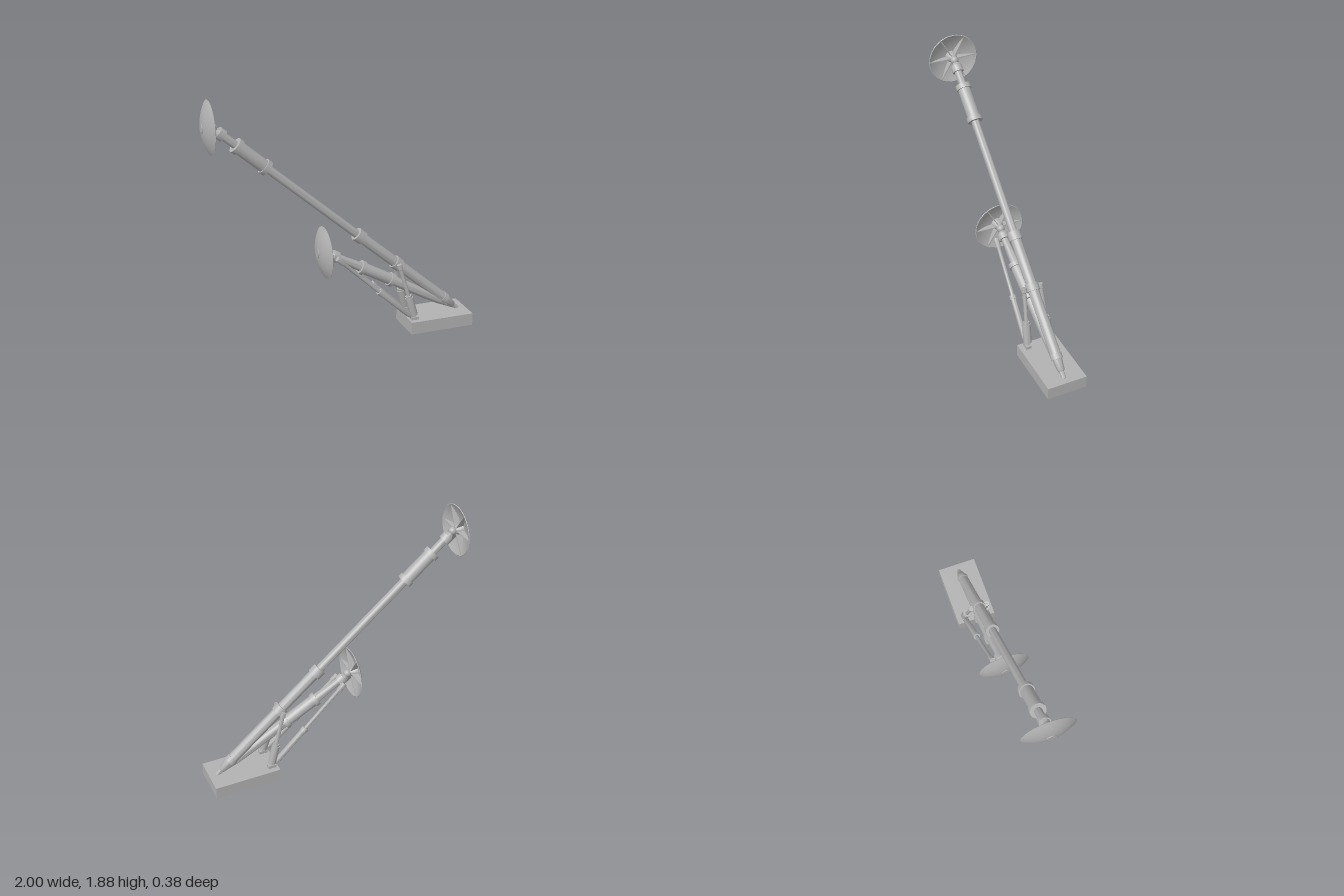
import * as THREE from 'three';
import { toCreasedNormals } from 'three/addons/utils/BufferGeometryUtils.js';

const metal = new THREE.MeshStandardMaterial({ color: 0xb2b2b2 });
metal.name = 'plain grey';
const V = (x, y, z = 0) => new THREE.Vector3(x, y, z);
const UP = V(0, 1, 0);

function add(parent, name, geometry) {
  const mesh = new THREE.Mesh(geometry, metal);
  mesh.name = name;
  parent.add(mesh);
  return mesh;
}

// Turned part along a line; profile holds [distance from start, radius] pairs
function turned(parent, name, from, dir, profile, sides = 20) {
  const pts = profile.map(([t, r]) => new THREE.Vector2(r, t));
  pts.unshift(new THREE.Vector2(0, profile[0][0]));
  pts.push(new THREE.Vector2(0, profile[profile.length - 1][0]));
  const mesh = add(parent, name, toCreasedNormals(new THREE.LatheGeometry(pts, sides), 0.6));
  mesh.position.copy(from);
  mesh.quaternion.setFromUnitVectors(UP, dir.clone().normalize());
  return mesh;
}

// Profile points of a raised ring
const ring = (t, half, r, before, after) =>
  [[t - half, before], [t - half, r], [t + half, r], [t + half, after]];

function rodBetween(parent, name, a, b, profile, sides = 14) {
  const d = b.clone().sub(a), len = d.length();
  return turned(parent, name, a, d, profile.map(([t, r]) => [t * len, r]), sides);
}

// Shallow dish, open towards +x, with six radial fins and a swivel ball
function makeDish(x, y) {
  const dish = new THREE.Group();
  dish.name = 'dish';
  const R = 0.373, rim = 0.19;
  const bowl = (r) => R - Math.sqrt(R * R - r * r);
  const profile = [];
  for (let i = 0; i <= 10; i++) profile.push([bowl(rim * i / 10), rim * i / 10]);
  for (let i = 10; i >= 0; i--) {
    const r = 0.186 * i / 10;
    profile.push([bowl(r) + 0.006, r]);
  }
  turned(dish, 'dishShell', V(0, 0), V(1, 0), profile, 40);
  turned(dish, 'backPlate', V(-0.003, 0), V(1, 0), [[0, 0.035], [0.008, 0.035]]);
  turned(dish, 'dishHub', V(0.005, 0), V(1, 0), [[0, 0.045], [0.035, 0.036], [0.06, 0.022], [0.075, 0.02]]);

  const shape = new THREE.Shape();
  shape.moveTo(0.01, 0.004);
  for (let i = 1; i <= 6; i++) shape.lineTo(0.184 * i / 6, bowl(0.184 * i / 6) + 0.003);
  shape.lineTo(0.03, 0.058);
  shape.lineTo(0.01, 0.06);
  const fin = new THREE.ExtrudeGeometry(shape, { depth: 0.007, bevelEnabled: false });
  fin.translate(0, 0, -0.0035);
  // turn the fin so that its height runs along +x and its length along z
  fin.applyMatrix4(new THREE.Matrix4().makeBasis(V(0, 0, 1), V(1, 0, 0), V(0, 1, 0)));
  for (let i = 0; i < 6; i++) add(dish, 'dishFin', fin).rotation.x = i * Math.PI / 3;

  add(dish, 'swivelBall', new THREE.SphereGeometry(0.03, 18, 12)).position.x = 0.08;
  dish.position.set(x, y, 0);
  return dish;
}

export function createModel() {
  const model = new THREE.Group();
  model.name = 'twinDishArm';

  // Base slab
  add(model, 'base', new THREE.BoxGeometry(0.5, 0.095, 0.3)).position.set(0.75, 0.0475, 0);

  // Long upper arm
  const foot = V(0.92, 0.107);
  turned(model, 'upperArm', foot, V(-0.759, 0.651), [
    [-0.03, 0.016], [0.02, 0.018], [0.03, 0.026], [0.11, 0.036], [0.11, 0.043], [0.15, 0.043], [0.15, 0.039],
    ...ring(0.645, 0.028, 0.049, 0.039, 0.039),
    ...ring(1.034, 0.032, 0.05, 0.039, 0.03),
    ...ring(1.95, 0.018, 0.057, 0.03, 0.047),
    ...ring(2.207, 0.018, 0.057, 0.047, 0.028),
    ...ring(2.355, 0.024, 0.042, 0.028, 0.034),
    [2.41, 0.018], [2.44, 0.018],
  ], 24);

  // Short lower arm
  turned(model, 'lowerArm', foot, V(-0.874, 0.486), [
    [0, 0.016], [0.04, 0.02], [0.16, 0.033], [0.3, 0.036],
    ...ring(0.612, 0.016, 0.052, 0.036, 0.042),
    ...ring(0.875, 0.016, 0.052, 0.042, 0.034),
    [1.03, 0.027],
    ...ring(1.115, 0.022, 0.042, 0.027, 0.034),
    [1.165, 0.018], [1.195, 0.018],
  ], 24);

  model.add(makeDish(-0.997, 1.69), makeDish(-0.187, 0.69));

  // Cross pins that carry the struts
  const pin = (name, x, y, half) =>
    turned(model, name, V(x, y, -half), V(0, 0, 1), [[0, 0.014], [half * 2, 0.014]]);
  pin('upperPin', 0.43, 0.525, 0.078);
  pin('lowerPin', -0.045, 0.64, 0.075);

  // Mirrored struts and pistons
  for (const s of [1, -1]) {
    const side = new THREE.Group();
    side.name = s > 0 ? 'frontStruts' : 'rearStruts';
    model.add(side);

    rodBetween(side, 'longStrut', V(0.535, 0.105, s * 0.09), V(-0.045, 0.64, s * 0.062), [
      [0, 0.012], [0.04, 0.013], [0.07, 0.021], [0.43, 0.021], [0.43, 0.026], [0.47, 0.026],
      [0.47, 0.014], [0.93, 0.014], [0.95, 0.02], [1.02, 0.02],
    ]);

    const low = V(0.55, 0.1, s * 0.09), high = V(0.43, 0.525, s * 0.063);
    rodBetween(side, 'piston', low, high, [
      [0, 0.014], [0.07, 0.014], [0.07, 0.028], [0.11, 0.03], [0.4, 0.03], [0.4, 0.025], [0.44, 0.025],
      [0.44, 0.014], [0.94, 0.014], [0.95, 0.02], [1.03, 0.02],
    ]);

    // Foot bracket on the slab
    add(side, 'footBracket', new THREE.BoxGeometry(0.06, 0.025, 0.04)).position.set(0.545, 0.105, s * 0.09);
  }
  return model;
}
